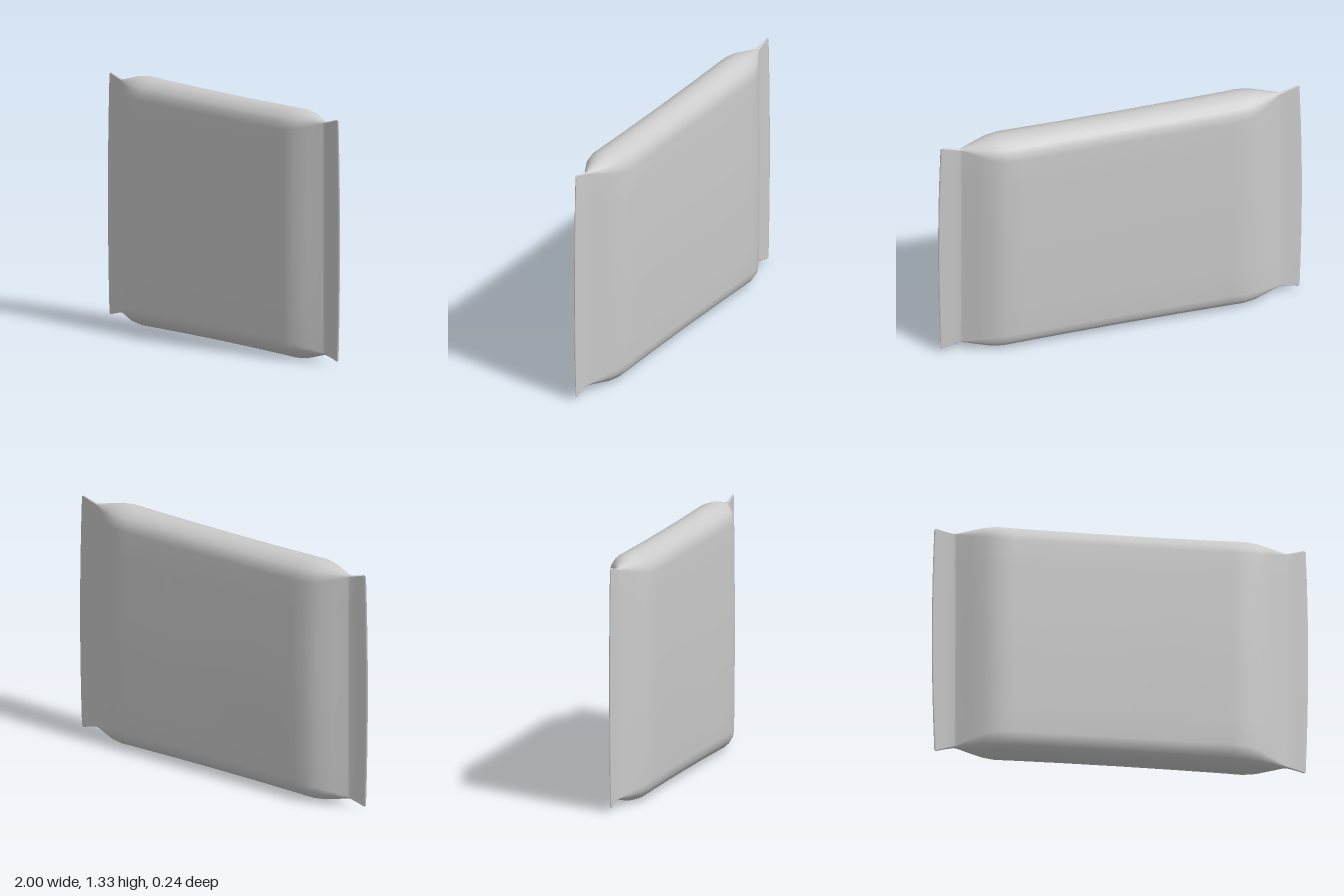
import * as THREE from 'three';

const MID_Y = 0.67;

// Half of the packet's length: [x, half height, half depth, outward bow of the edge]
const HALF = [
  [0, 0.66, 0.117, 0],
  [0.3, 0.661, 0.118, 0],
  [0.58, 0.664, 0.12, 0],
  [0.66, 0.666, 0.118, 0],
  [0.73, 0.658, 0.098, 0],
  [0.80, 0.641, 0.058, 0],
  [0.87, 0.623, 0.014, 0],
  [0.885, 0.622, 0.009, 0],
  [0.93, 0.632, 0.006, 0.006],
  [0.978, 0.645, 0.004, 0.014],
  [0.987, 0.639, 0.003, 0.013],
];

// Quarter outline from the top ridge to mid height: [depth share, drop below top, height share]
const QUARTER = [
  [0, 0, 1], [0.27, 0.006, 1], [0.53, 0.019, 1], [0.74, 0.042, 1], [0.88, 0.068, 1],
  [0.95, 0.108, 1], [0.97, 0.108, 0.75], [0.985, 0.108, 0.5], [0.997, 0.05, 0.25], [1, 0, 0],
];

// Closed cross-section, running top -> front -> bottom -> back
function ring([x, h, d, bow], side) {
  const k = d / 0.12;
  const quarter = QUARTER.map(([zf, drop, yf]) => [h * yf - drop * k, d * zf]);
  const front = [...quarter, ...quarter.slice(0, -1).reverse().map(([y, z]) => [-y, z])];
  const back = front.slice(1, -1).reverse().map(([y, z]) => [y, -z]);
  return [...front, ...back].map(([y, z]) =>
    [side * (x + bow * (1 - (y / h) ** 2)), MID_Y + y, z]);
}

function loft(rings) {
  const n = rings[0].length, index = [];
  for (let i = 0; i < rings.length - 1; i++) {
    for (let j = 0; j < n; j++) {
      const a = i * n + j, b = i * n + (j + 1) % n;
      index.push(a, b, a + n, b, b + n, a + n);
    }
  }
  // Close both thin ends with strips between front and back
  const last = (rings.length - 1) * n;
  for (let j = 0; j < n / 2; j++) {
    const p = j, q = j + 1, r = (n - j) % n, s = n - j - 1;
    index.push(p, r, q, q, r, s);
    index.push(last + p, last + q, last + r, last + q, last + s, last + r);
  }
  const geometry = new THREE.BufferGeometry();
  geometry.setAttribute('position', new THREE.Float32BufferAttribute(rings.flat(2), 3));
  geometry.setIndex(index);
  geometry.computeVertexNormals();
  return geometry;
}

export function createModel() {
  const group = new THREE.Group();
  group.name = 'pillowPacket';
  const material = new THREE.MeshStandardMaterial({ color: 0xcccccc, side: THREE.DoubleSide });

  // Puffed body with a flat, flared seal at each end
  const rings = [
    ...HALF.slice(1).reverse().map((s) => ring(s, -1)),
    ...HALF.map((s) => ring(s, 1)),
  ];
  const wrapper = new THREE.Mesh(loft(rings), material);
  wrapper.name = 'sealedWrapper';
  group.add(wrapper);
  return group;
}
